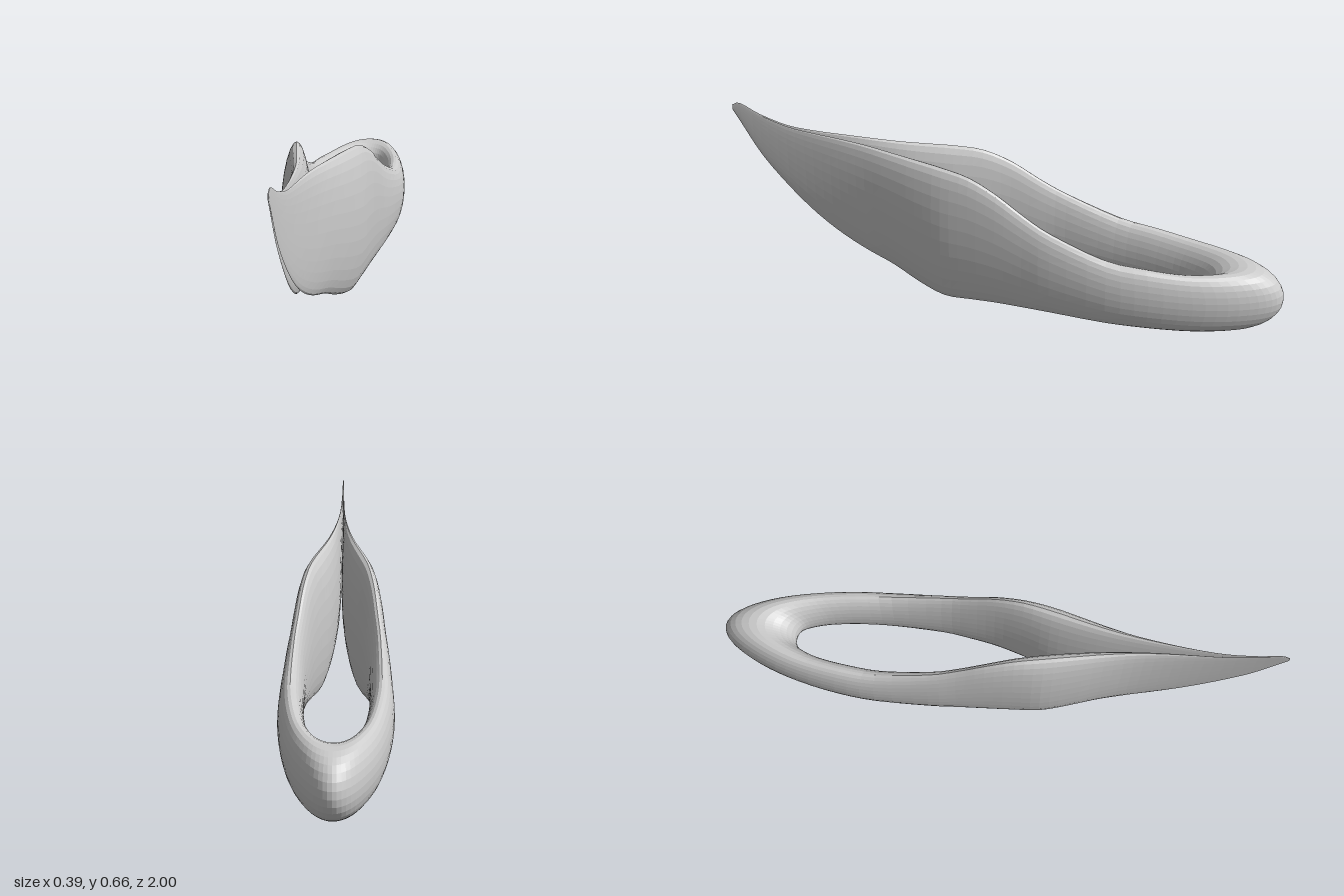
import * as THREE from 'three';

// Half-ring stations from the back to the front tip:
// outer z, outer x, inner z, inner x, top y, bottom y
const STATIONS = [
  [-1.0, 0, -0.73, 0, 0.232, 0.003],
  [-0.98, 0.042, -0.725, 0.026, 0.233, 0.004],
  [-0.92, 0.084, -0.705, 0.05, 0.235, 0.007],
  [-0.82, 0.127, -0.66, 0.07, 0.237, 0.012],
  [-0.7, 0.16, -0.6, 0.086, 0.242, 0.017],
  [-0.55, 0.185, -0.5, 0.1, 0.258, 0.024],
  [-0.4, 0.194, -0.38, 0.109, 0.28, 0.03],
  [-0.2, 0.185, -0.2, 0.109, 0.355, 0.039],
  [-0.1, 0.175, -0.1, 0.1, 0.41, 0.038],
  [0, 0.166, 0, 0.085, 0.475, 0.035],
  [0.1, 0.157, 0.1, 0.06, 0.52, 0.025],
  [0.2, 0.145, 0.2, 0.032, 0.536, 0.016],
  [0.3, 0.118, 0.3, 0.015, 0.544, 0.045],
  [0.4, 0.086, 0.4, 0.005, 0.552, 0.09],
  [0.5, 0.057, 0.5, 0.001, 0.562, 0.125],
  [0.6, 0.036, 0.6, 0, 0.57, 0.175],
  [0.7, 0.021, 0.7, 0, 0.577, 0.245],
  [0.8, 0.011, 0.8, 0, 0.59, 0.34],
  [0.9, 0.005, 0.9, 0, 0.624, 0.46],
  [0.97, 0.003, 0.97, 0, 0.66, 0.58],
  [1.0, 0.002, 1.0, 0, 0.652, 0.632],
];

const SIDES = 28;
const STEPS = (STATIONS.length - 1) * 2 * 3;

// Sweep an oval section along the whole ring, one front tip to the other
function ringGeometry() {
  const mirrored = STATIONS.slice(1).reverse()
    .map(([zo, xo, zi, xi, t, b]) => [zo, -xo, zi, -xi, t, b]);
  const all = [...mirrored, ...STATIONS];
  const outer = new THREE.CatmullRomCurve3(
    all.map(s => new THREE.Vector3(s[1], s[4], s[0])), false, 'catmullrom', 0.5);
  const inner = new THREE.CatmullRomCurve3(
    all.map(s => new THREE.Vector3(s[3], s[5], s[2])), false, 'catmullrom', 0.5);

  const positions = [];
  const indices = [];
  for (let i = 0; i <= STEPS; i++) {
    const o = outer.getPoint(i / STEPS);
    const n = inner.getPoint(i / STEPS);
    for (let j = 0; j < SIDES; j++) {
      const a = (j / SIDES) * Math.PI * 2;
      const k = 0.5 + 0.5 * Math.cos(a);
      const h = 0.5 + 0.5 * Math.sin(a);
      positions.push(
        n.x + (o.x - n.x) * k,
        n.y + (o.y - n.y) * h,
        n.z + (o.z - n.z) * k);
    }
  }
  for (let i = 0; i < STEPS; i++) {
    for (let j = 0; j < SIDES; j++) {
      const a = i * SIDES + j;
      const b = i * SIDES + (j + 1) % SIDES;
      const c = a + SIDES;
      const d = b + SIDES;
      indices.push(a, b, c, b, d, c);
    }
  }
  // Close the two thin ends at the front tip
  const last = STEPS * SIDES;
  for (let j = 1; j < SIDES - 1; j++) {
    indices.push(0, j + 1, j, last, last + j, last + j + 1);
  }
  const geometry = new THREE.BufferGeometry();
  geometry.setAttribute('position', new THREE.Float32BufferAttribute(positions, 3));
  geometry.setIndex(indices);
  geometry.computeVertexNormals();
  return geometry;
}

export function createModel() {
  const group = new THREE.Group();
  group.name = 'bladedRing';
  const material = new THREE.MeshStandardMaterial({
    color: 0xcccccc, flatShading: true, side: THREE.DoubleSide,
  });
  // Hollow ring whose two sides merge into an upswept front blade
  const body = new THREE.Mesh(ringGeometry(), material);
  body.name = 'ringBody';
  group.add(body);
  return group;
}
